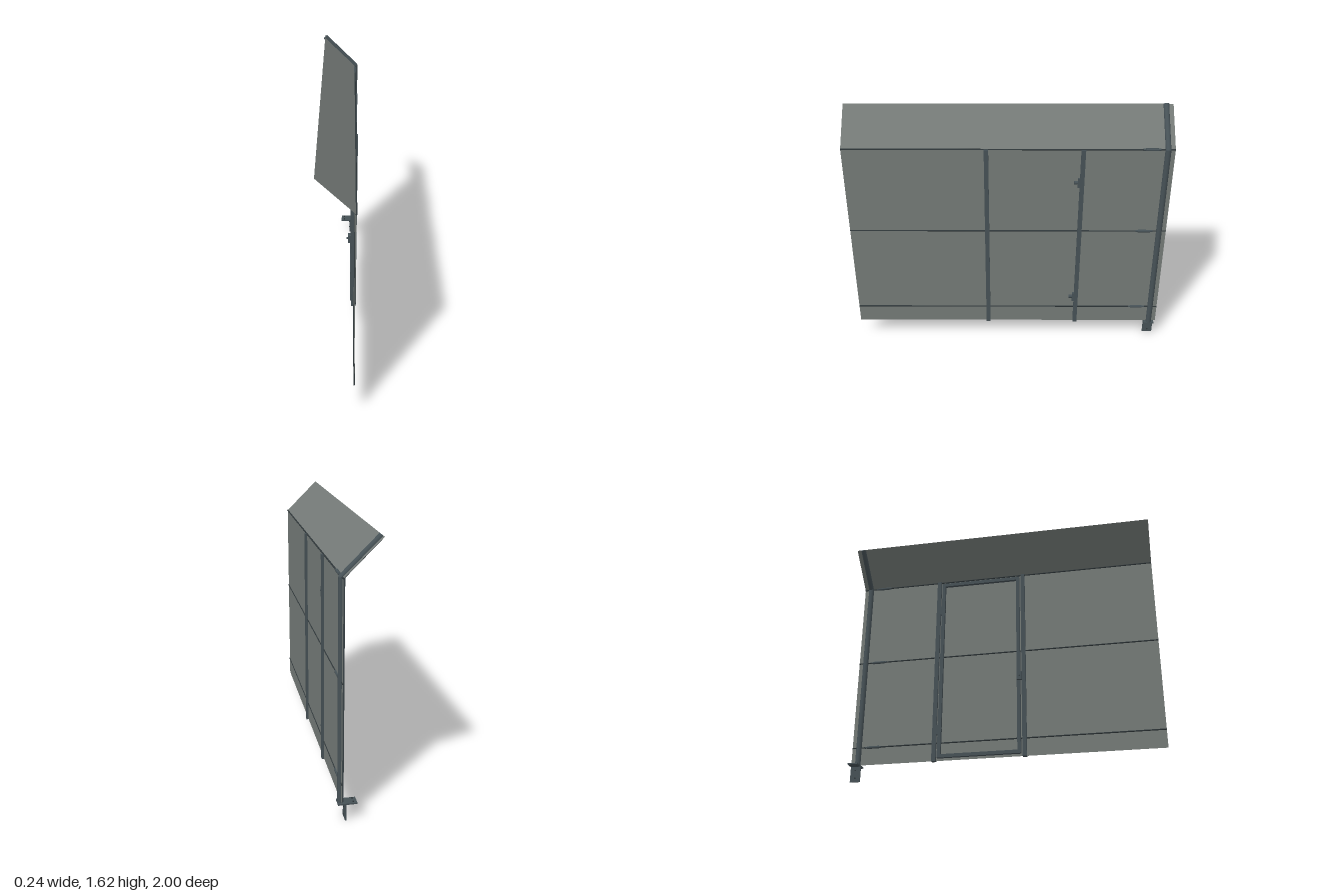
import * as THREE from 'three';

const PX = 0.098;   // plane of the fence
const POST_Z = -0.956;

export function createModel() {
  const root = new THREE.Group();
  root.name = 'fenceSection';
  const steel = new THREE.MeshStandardMaterial({ color: 0x465156 });
  steel.name = 'dark steel';
  const wireMat = new THREE.MeshStandardMaterial({ color: 0x30383b });
  wireMat.name = 'wire';
  const meshMat = new THREE.MeshStandardMaterial({ color: 0x747a77, side: THREE.DoubleSide });
  meshMat.name = 'grey mesh';

  const add = (name, geo, mat, x = 0, y = 0, z = 0, parent = root) => {
    const m = new THREE.Mesh(geo, mat);
    m.name = name;
    m.position.set(x, y, z);
    parent.add(m);
    return m;
  };
  const box = (name, w, h, d, x, y, z, parent) =>
    add(name, new THREE.BoxGeometry(w, h, d), steel, x, y, z, parent);

  // Cylinder between two points
  const rod = (name, a, b, r, mat, sides = 16, parent = root) => {
    const p = new THREE.Vector3(...a), q = new THREE.Vector3(...b);
    const dir = q.clone().sub(p);
    const m = add(name, new THREE.CylinderGeometry(r, r, dir.length(), sides), mat, 0, 0, 0, parent);
    m.position.copy(p).add(q).multiplyScalar(0.5);
    m.quaternion.setFromUnitVectors(new THREE.Vector3(0, 1, 0), dir.normalize());
    return m;
  };

  // Mesh sheets: upright face and outward-leaning top
  const sheet = (name, x0, y0, x1, y1) => {
    const g = new THREE.BufferGeometry();
    g.setAttribute('position', new THREE.Float32BufferAttribute(
      [x0, y0, 1, x0, y0, -1, x1, y1, -1, x1, y1, 1], 3));
    g.setIndex([0, 1, 2, 0, 2, 3]);
    g.computeVertexNormals();
    add(name, g, meshMat);
  };
  sheet('uprightMesh', PX, 0.115, PX, 1.4);
  sheet('leaningMesh', PX, 1.4, -0.11, 1.606);

  // Main post with bent arm
  const post = new THREE.Group();
  post.name = 'mainPost';
  root.add(post);
  rod('postTube', [PX, 0.105, POST_Z], [PX, 1.396, POST_Z], 0.018, steel, 20, post);
  rod('postArm', [PX, 1.4, POST_Z], [-0.108, 1.606, POST_Z], 0.017, steel, 20, post);
  add('postElbow', new THREE.SphereGeometry(0.0185, 20, 12), steel, PX, 1.397, POST_Z, post);

  // Angle bracket under the post, with bolts
  const foot = new THREE.Group();
  foot.name = 'footBracket';
  root.add(foot);
  box('footPlate', 0.11, 0.008, 0.065, 0.062, 0.103, -0.957, foot);
  box('footLeg', 0.008, 0.1, 0.065, 0.073, 0.05, -0.957, foot);
  for (const s of [-1, 1]) {
    rod('plateBolt', [0.028, 0.098, -0.957 + s * 0.018], [0.028, 0.113, -0.957 + s * 0.018], 0.005, wireMat, 6, foot);
    rod('legBolt', [0.066, 0.05 + s * 0.025, -0.957], [0.082, 0.05 + s * 0.025, -0.957], 0.005, wireMat, 6, foot);
  }

  // Tension wires with turnbuckles
  for (const y of [0.232, 0.83, 1.4]) {
    rod('tensionWire', [PX, y, 1], [PX, y, -1], 0.0045, wireMat, 8);
    rod('turnbuckle', [PX, y, -0.822], [PX, y, -0.9], 0.009, steel, 10);
    for (const z of [-0.815, -0.907])
      rod('turnbuckleEnd', [PX, y, z - 0.007], [PX, y, z + 0.007], 0.0065, steel, 8);
  }

  // Gate posts
  for (const z of [0.131, -0.452])
    box('gatePost', 0.03, 1.288, 0.027, 0.097, 0.757, z);

  // Gate frame
  const gate = new THREE.Group();
  gate.name = 'gateFrame';
  root.add(gate);
  for (const z of [0.098, -0.417])
    box('gateStile', 0.02, 1.25, 0.022, 0.084, 0.755, z, gate);
  for (const y of [0.141, 1.369])
    box('gateRail', 0.02, 0.022, 0.494, 0.084, y, -0.16, gate);

  // Hinges
  for (const y of [0.317, 1.177]) {
    box('hingePlate', 0.03, 0.064, 0.012, 0.096, y, -0.433);
    rod('hingePin', [PX, y, -0.428], [PX, y, -0.404], 0.012, steel, 10);
  }

  // Latch
  box('latchCase', 0.018, 0.055, 0.032, 0.067, 0.643, 0.105);
  rod('latchKnob', [0.06, 0.643, 0.105], [0.048, 0.643, 0.105], 0.007, steel, 12);

  return root;
}
